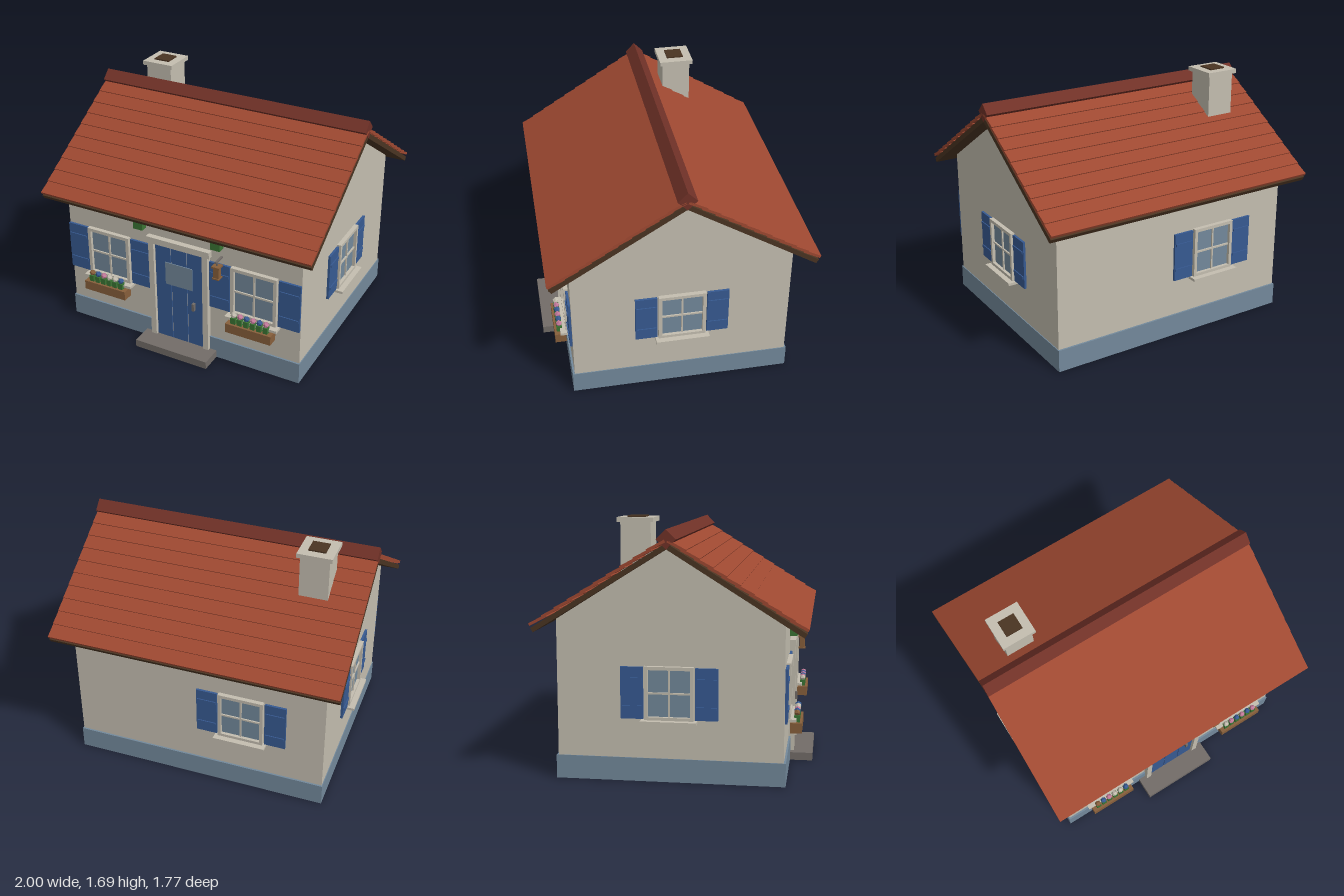
import * as THREE from 'three';

const mat = (name, color) => Object.assign(new THREE.MeshStandardMaterial({ color }), { name });
const M = {
  plaster: mat('plaster', 0xc4beb0),
  slate: mat('slate blue', 0x73899b),
  blue: mat('shutter blue', 0x375a92),
  tile: mat('roof tile', 0x9e4831),
  ridge: mat('ridge tile', 0x703127),
  dark: mat('dark wood', 0x4a3422),
  wood: mat('light wood', 0x875f3b),
  stone: mat('stone', 0x726c68),
  green: mat('leaf green', 0x3a7434),
  pink: mat('petal pink', 0xc27a9a),
};

function add(parent, name, geo, material, x = 0, y = 0, z = 0) {
  const m = new THREE.Mesh(geo, material);
  m.name = name;
  m.position.set(x, y, z);
  parent.add(m);
  return m;
}

// Box given by its minimum and maximum on each axis
function box(parent, name, material, [x0, x1], [y0, y1], [z0, z1]) {
  return add(parent, name, new THREE.BoxGeometry(x1 - x0, y1 - y0, z1 - z0), material,
    (x0 + x1) / 2, (y0 + y1) / 2, (z0 + z1) / 2);
}

function group(parent, name, x = 0, y = 0, z = 0) {
  const g = new THREE.Group();
  g.name = name;
  g.position.set(x, y, z);
  parent.add(g);
  return g;
}

// Extrude a (z, y) profile along x, centred
function alongX(points, width) {
  const shape = new THREE.Shape(points.map(([z, y]) => new THREE.Vector2(z, y)));
  return new THREE.ExtrudeGeometry(shape, { depth: width, bevelEnabled: false })
    .translate(0, 0, -width / 2).rotateY(-Math.PI / 2).scale(1, 1, 1);
}

// Window with frame, cross bars, sill and two shutters, facing +z, origin on the wall
function addWindow(parent, name, x, z, turn) {
  const g = group(parent, name, x, 0.583, z);
  g.rotation.y = turn;
  box(g, 'glass', M.slate, [-0.14, 0.14], [-0.16, 0.16], [0, 0.008]);
  for (const s of [-1, 1]) {
    add(g, 'frameSide', new THREE.BoxGeometry(0.022, 0.348, 0.03), M.plaster, s * 0.147, 0, 0.015);
    add(g, 'frameRail', new THREE.BoxGeometry(0.28, 0.022, 0.03), M.plaster, 0, s * 0.163, 0.015);
    const sh = group(g, 'shutter', s * 0.24, 0, 0);
    add(sh, 'shutterPanel', new THREE.BoxGeometry(0.146, 0.336, 0.016), M.blue, 0, 0, 0.01);
    for (const y of [-0.09, 0.09])
      add(sh, 'shutterBatten', new THREE.BoxGeometry(0.13, 0.018, 0.008), M.blue, 0, y, 0.021);
  }
  add(g, 'verticalBar', new THREE.BoxGeometry(0.012, 0.31, 0.016), M.plaster, 0, 0, 0.01);
  add(g, 'crossBar', new THREE.BoxGeometry(0.28, 0.012, 0.016), M.plaster, 0, 0, 0.01);
  box(g, 'sill', M.plaster, [-0.18, 0.18], [-0.19, -0.172], [0, 0.068]);
  return g;
}

// Planter with a row of six flowers
function addPlanter(parent, x, colours) {
  const g = group(parent, 'flowerBox', x, 0, 0);
  box(g, 'planter', M.wood, [-0.165, 0.165], [0.308, 0.375], [0.757, 0.833]);
  colours.forEach((c, i) => {
    const fx = (i - 2.5) * 0.047;
    box(g, 'stem', M.green, [fx - 0.017, fx + 0.017], [0.37, 0.42], [0.782, 0.818]);
    const head = new THREE.IcosahedronGeometry(0.022, 0);
    add(g, 'blossom', head, M[c], fx, 0.435, 0.8);
  });
}

export function createModel() {
  const root = new THREE.Group();
  root.name = 'cottage';
  const house = group(root, 'house', 0, 0, -0.005);
  const W = 0.887, D = 0.729;

  // Walls with gables, and the painted base
  add(house, 'walls', alongX([[-D, 0], [D, 0], [D, 1.045], [0, 1.505], [-D, 1.045]], W * 2), M.plaster);
  box(house, 'plinth', M.slate, [-0.893, 0.893], [0.001, 0.155], [-0.742, 0.742]);

  // Roof boards and overlapping tile rows on both slopes
  const roof = group(house, 'roof');
  add(roof, 'roofBoards', alongX([
    [0, 1.503], [0.849, 0.973], [0.866, 1.0], [0, 1.542], [-0.866, 1.0], [-0.849, 0.973],
  ], 1.996), M.dark);
  const tilt = 0.49, len = 0.128;
  for (const s of [-1, 1]) {
    for (let i = 0; i < 10; i++) {
      const z = 0.874 - 0.0837 * i, y = 1.021 + 0.0525 * i;
      const row = add(roof, 'tileRow', new THREE.BoxGeometry(2, 0.018, len), M.tile,
        0, y + Math.sin(tilt) * len / 2, s * (z - Math.cos(tilt) * len / 2));
      row.rotation.x = s * tilt;
    }
  }
  add(roof, 'ridge', new THREE.BoxGeometry(2, 0.088, 0.088), M.ridge, 0, 1.563, 0).rotation.x = Math.PI / 4;

  // Chimney
  const chimney = group(house, 'chimney', -0.657, 0, -0.235);
  box(chimney, 'chimneyStack', M.plaster, [-0.098, 0.098], [1.25, 1.66], [-0.098, 0.098]);
  box(chimney, 'chimneyCap', M.plaster, [-0.118, 0.118], [1.655, 1.685], [-0.118, 0.118]);
  box(chimney, 'flue', M.dark, [-0.058, 0.058], [1.68, 1.694], [-0.058, 0.058]);

  // Door, frame and step
  const door = group(house, 'door');
  box(door, 'doorBacking', M.plaster, [-0.19, 0.19], [0.05, 0.79], [0.72, 0.744]);
  for (const i of [-1, 0, 1])
    box(door, 'plank', M.blue, [i * 0.122 - 0.058, i * 0.122 + 0.058], [0.05, 0.79], [0.73, 0.75]);
  box(door, 'doorGlass', M.slate, [-0.103, 0.103], [0.493, 0.663], [0.748, 0.756]);
  box(door, 'doorHandle', M.stone, [0.105, 0.123], [0.345, 0.4], [0.748, 0.775]);
  for (const s of [-1, 1])
    add(door, 'doorPost', new THREE.BoxGeometry(0.04, 0.74, 0.045), M.plaster, s * 0.205, 0.42, 0.745);
  box(door, 'lintel', M.plaster, [-0.24, 0.24], [0.79, 0.835], [0.725, 0.769]);
  box(door, 'step', M.stone, [-0.277, 0.277], [0.002, 0.055], [0.735, 0.895]);

  // Windows on all four sides
  for (const s of [-1, 1]) {
    addWindow(house, 'frontWindow', s * 0.557, D, 0).scale.set(1.05, 1.04, 1);
    addWindow(house, 'sideWindow', s * W, 0, s * Math.PI / 2);
  }
  addWindow(house, 'backWindow', -0.312, -D, Math.PI);

  addPlanter(house, -0.557, ['wood', 'blue', 'pink', 'plaster', 'plaster', 'blue']);
  addPlanter(house, 0.557, ['plaster', 'pink', 'blue', 'pink', 'blue', 'pink']);

  // Vine leaves under the eaves
  for (const s of [-1, 1]) {
    [[0.225, 0.985], [0.268, 0.957], [0.292, 0.907]].forEach(([x, y]) =>
      add(house, 'vineLeaf', new THREE.BoxGeometry(0.07, 0.06, 0.05), M.green, s * x, y, 0.757));
  }

  // Lantern on a bracket
  const lantern = group(house, 'lantern', 0.315, 0, 0.795);
  box(lantern, 'bracket', M.stone, [-0.007, 0.007], [0.802, 0.816], [-0.07, 0.02]);
  box(lantern, 'hanger', M.stone, [-0.004, 0.004], [0.77, 0.804], [-0.004, 0.004]);
  box(lantern, 'lanternCap', M.wood, [-0.028, 0.028], [0.766, 0.779], [-0.028, 0.028]);
  box(lantern, 'lanternBody', M.wood, [-0.019, 0.019], [0.69, 0.768], [-0.019, 0.019]);
  box(lantern, 'lanternBase', M.wood, [-0.025, 0.025], [0.682, 0.692], [-0.025, 0.025]);

  return root;
}
